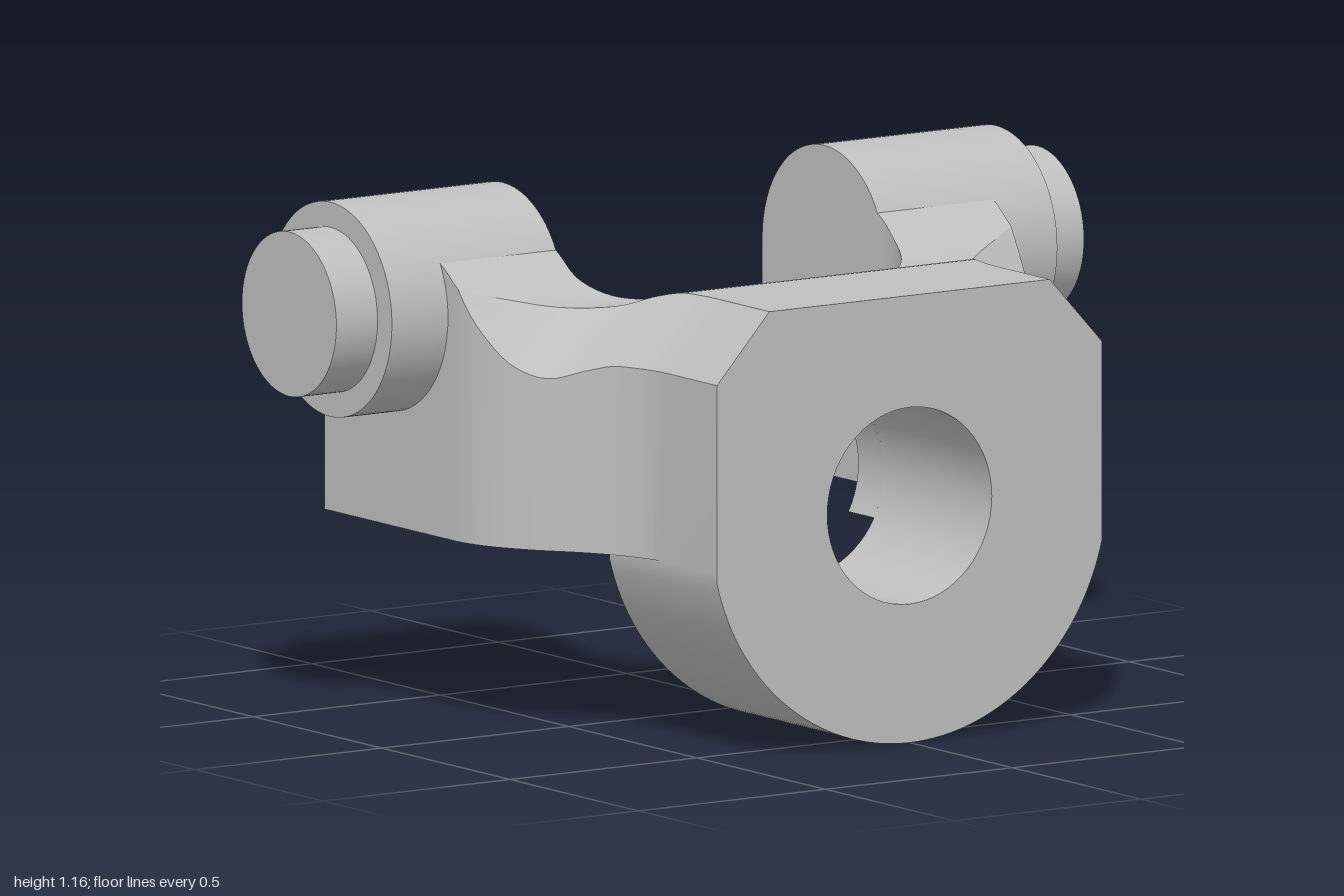
import * as THREE from 'three';
import { toCreasedNormals } from 'three/addons/utils/BufferGeometryUtils.js';

// Smooth curve through [z, value] knots, with z falling; constant beyond the ends
function curve(knots) {
  const n = knots.length;
  const slope = (i) => (i === 0 || i === n - 1) ? 0
    : (knots[i + 1][1] - knots[i - 1][1]) / (knots[i + 1][0] - knots[i - 1][0]);
  return (z) => {
    if (z >= knots[0][0]) return knots[0][1];
    for (let i = 0; i < n - 1; i++) {
      const [z0, v0] = knots[i], [z1, v1] = knots[i + 1];
      if (z < z1) continue;
      const h = z1 - z0, t = (z - z0) / h, t2 = t * t, t3 = t2 * t;
      return v0 * (2 * t3 - 3 * t2 + 1) + v1 * (3 * t2 - 2 * t3)
        + h * (slope(i) * (t3 - 2 * t2 + t) + slope(i + 1) * (t3 - t2));
    }
    return knots[n - 1][1];
  };
}

// Rules along z: top height, outer side, and the two edges of the chamfer
const topY = curve([[0.3, 1], [0.22, 0.985], [0.14, 0.957], [0.06, 0.947], [0, 0.955],
  [-0.08, 0.988], [-0.13, 1.025], [-0.17, 1.045], [-0.3, 1.04], [-0.6, 0.92]]);
const outerX = curve([[0.4, 0.515], [0.3, 0.537], [0.2, 0.59], [0.1, 0.668], [0, 0.722], [-0.1, 0.74]]);
const chamferX = curve([[0.4, 0.375], [0.3, 0.387], [0.2, 0.425], [0.1, 0.488], [0, 0.6],
  [-0.07, 0.715], [-0.1, 0.74]]);
const edgeY = curve([[0.27, 0.848], [0.2, 0.832], [0.13, 0.81], [0.06, 0.835], [0, 0.89],
  [-0.05, 0.945], [-0.1, 1.003]]);
const chamferY = (z) => (z < -0.1 ? topY(z) : Math.min(edgeY(z), topY(z)));

const BASE = 0.425, HOLE = 0.22, AXIS = 0.53;

function arc(r, from, to, n) {
  return Array.from({ length: n + 1 }, (_, i) => {
    const a = from + (to - from) * i / n;
    return [Math.abs(r * Math.cos(a)), AXIS + r * Math.sin(a)];
  });
}

// Right-hand end of every section: top, chamfer, outer side
const shoulder = (z) => [[chamferX(z), topY(z)], [outerX(z), chamferY(z)], [outerX(z), BASE]];

// Section of the bored disc
function discSection(z) {
  const start = Math.asin((BASE - AXIS) / 0.53);
  const rim = arc(0.53, start, -Math.PI / 2, 32);
  rim[0] = [0.515, BASE];
  rim[rim.length - 1] = [0, 0];
  return [...arc(HOLE, -Math.PI / 2, Math.PI / 2, 32), [0, topY(z)], ...shoulder(z), ...rim];
}

// Section of the bridge, where the bore breaks out below
function bridgeSection(z) {
  const a = Math.asin((BASE - AXIS) / HOLE);
  return [...arc(HOLE, a, Math.PI / 2, 24), [0, topY(z)], ...shoulder(z)];
}

// Section of an arm, with a round fillet at the inner corner
function armSection(z) {
  const inner = z > -0.12 ? 0.23 + Math.sqrt(Math.max(0, 0.04 - (z + 0.12) ** 2)) : 0.43;
  return [[inner, BASE], [inner, topY(z)], ...shoulder(z)];
}

// Skin between sections, closed at both ends; side is 1 or -1
function loft(section, stations, side) {
  const rings = stations.map((z) => section(z).map(([x, y]) => [x, y, z]));
  const pos = [];
  const tri = (a, b, c) => {
    for (const p of side > 0 ? [a, b, c] : [a, c, b]) pos.push(p[0] * side, p[1], p[2]);
  };
  for (let k = 0; k < rings.length - 1; k++) {
    const a = rings[k], b = rings[k + 1];
    for (let i = 0; i < a.length; i++) {
      const j = (i + 1) % a.length;
      if (a[i][0] < 1e-6 && a[j][0] < 1e-6) continue; // open on the centre plane
      tri(a[i], a[j], b[j]);
      tri(a[i], b[j], b[i]);
    }
  }
  [[rings[0], 1], [rings[rings.length - 1], -1]].forEach(([ring, facing]) => {
    const flat = ring.map((p) => new THREE.Vector2(p[0], p[1]));
    for (const [i, j, k] of THREE.ShapeUtils.triangulateShape(flat, [])) {
      const area = THREE.ShapeUtils.area([flat[i], flat[j], flat[k]]);
      if (area * facing > 0) tri(ring[i], ring[j], ring[k]);
      else tri(ring[i], ring[k], ring[j]);
    }
  });
  const geo = new THREE.BufferGeometry();
  geo.setAttribute('position', new THREE.Float32BufferAttribute(pos, 3));
  return toCreasedNormals(geo, 0.5);
}

const steps = (a, b, n) => Array.from({ length: n + 1 }, (_, i) => a + (b - a) * i / n);

export function createModel() {
  const steel = new THREE.MeshStandardMaterial({ color: 0xbfbfbf });
  steel.name = 'grey steel';
  const model = new THREE.Group();
  model.name = 'yoke';

  const add = (name, geo) => {
    const mesh = new THREE.Mesh(geo, steel);
    mesh.name = name;
    model.add(mesh);
    return mesh;
  };

  // Stations crowd together where the fillet starts
  const fillet = steps(0, Math.PI / 2, 16).map((a) => -0.12 + 0.2 * Math.cos(a));
  const armStations = [...fillet, ...steps(-0.14, -0.3, 8), -0.6];

  for (const side of [1, -1]) {
    const word = side > 0 ? 'left' : 'right';
    add(word + 'Disc', loft(discSection, [0.6, ...steps(0.4, 0.18, 14)], side));
    add(word + 'Bridge', loft(bridgeSection, steps(0.18, 0.08, 6), side));
    add(word + 'Arm', loft(armSection, armStations, side));

    // Lug barrel and its pin
    for (const [name, r, x0, x1] of [['Barrel', 0.24, 0.43, 0.89], ['Pin', 0.184, 0.87, 1]]) {
      const geo = new THREE.CylinderGeometry(r, r, x1 - x0, 64).rotateZ(Math.PI / 2);
      add(word + name, geo).position.set(side * (x0 + x1) / 2, 0.92, -0.36);
    }
  }
  return model;
}
